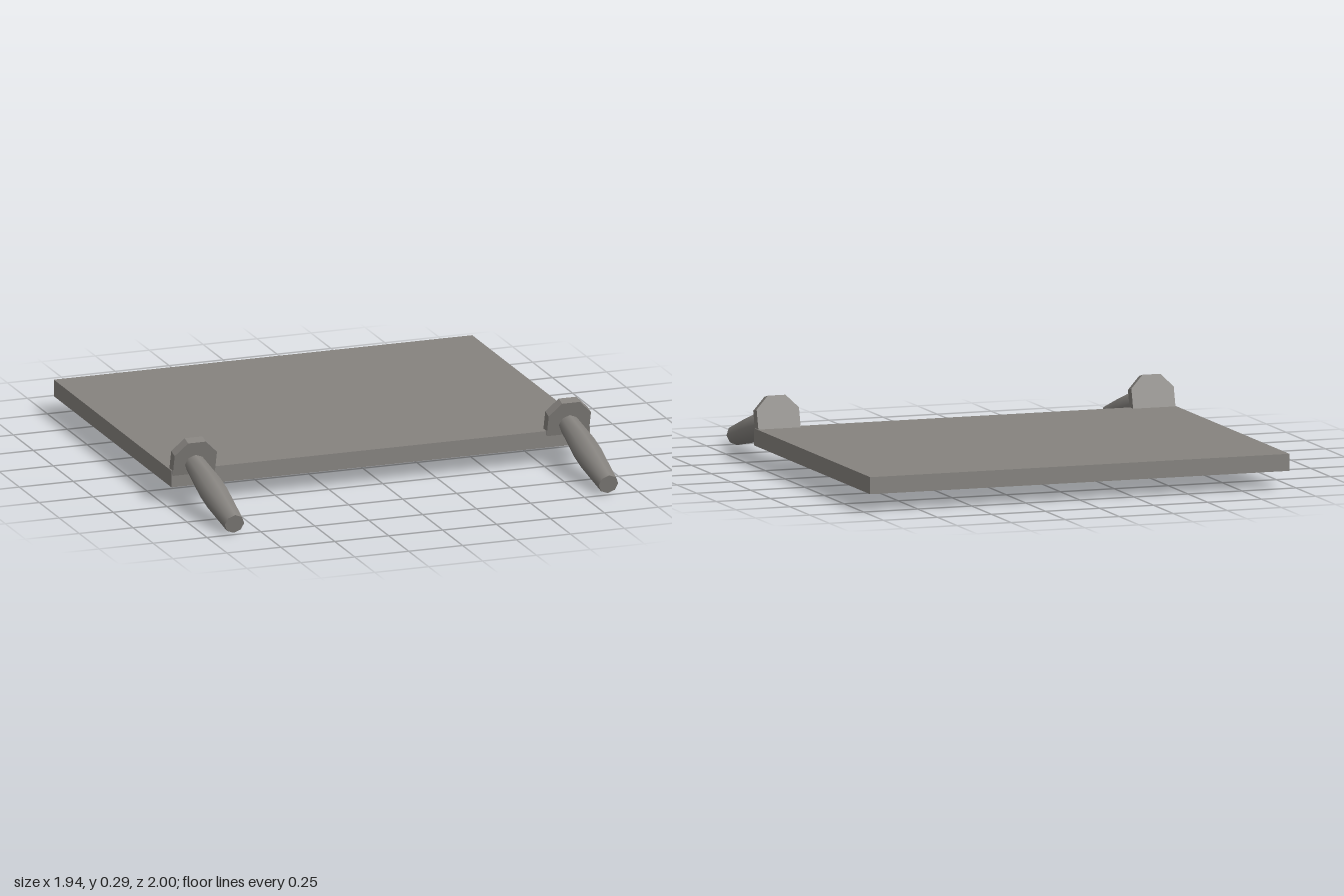
import * as THREE from 'three';

const gray = new THREE.MeshStandardMaterial({ color: 0x86837f });
gray.name = 'warm gray';

function addMesh(parent, geometry, name) {
  const mesh = new THREE.Mesh(geometry, gray);
  mesh.name = name;
  parent.add(mesh);
  return mesh;
}

// Collar plate plus bulging grip, built along +z and then tilted downward
function createHandle(x) {
  const handle = new THREE.Group();

  // Collar: octagonal top with straight sides that sink into the board
  const outline = [
    [-0.098, -0.06], [0.098, -0.06], [0.098, 0.05],
    [0.041, 0.108], [-0.041, 0.108], [-0.098, 0.05],
  ].map(([u, v]) => new THREE.Vector2(u, v));
  const collar = new THREE.ExtrudeGeometry(new THREE.Shape(outline), { depth: 0.045, bevelEnabled: false });
  collar.translate(0, 0, -0.045);
  addMesh(handle, collar, 'collar');

  // Grip: eight-sided, widest in the middle
  const length = 0.515;
  const profile = [[0.045, -0.01], [0.06, 0.2], [0.06, 0.29], [0.045, length]]
    .map(([r, y]) => new THREE.Vector2(r, y));
  addMesh(handle, new THREE.LatheGeometry(profile, 8).rotateX(Math.PI / 2), 'grip');
  const cap = addMesh(handle, new THREE.CircleGeometry(0.045, 8), 'gripEnd');
  cap.position.z = length;

  handle.position.set(x, 0.18, 0.488);
  handle.rotation.x = THREE.MathUtils.degToRad(15);
  return handle;
}

export function createModel() {
  const model = new THREE.Group();
  model.name = 'boardWithHandles';

  // Flat board
  const board = addMesh(model, new THREE.BoxGeometry(1.94, 0.075, 1.475), 'board');
  board.position.set(0, 0.1175, -0.2625);

  // One handle at each front corner
  for (const side of [-1, 1]) {
    const handle = createHandle(side * 0.867);
    handle.name = side > 0 ? 'leftHandle' : 'rightHandle';
    model.add(handle);
  }
  return model;
}
